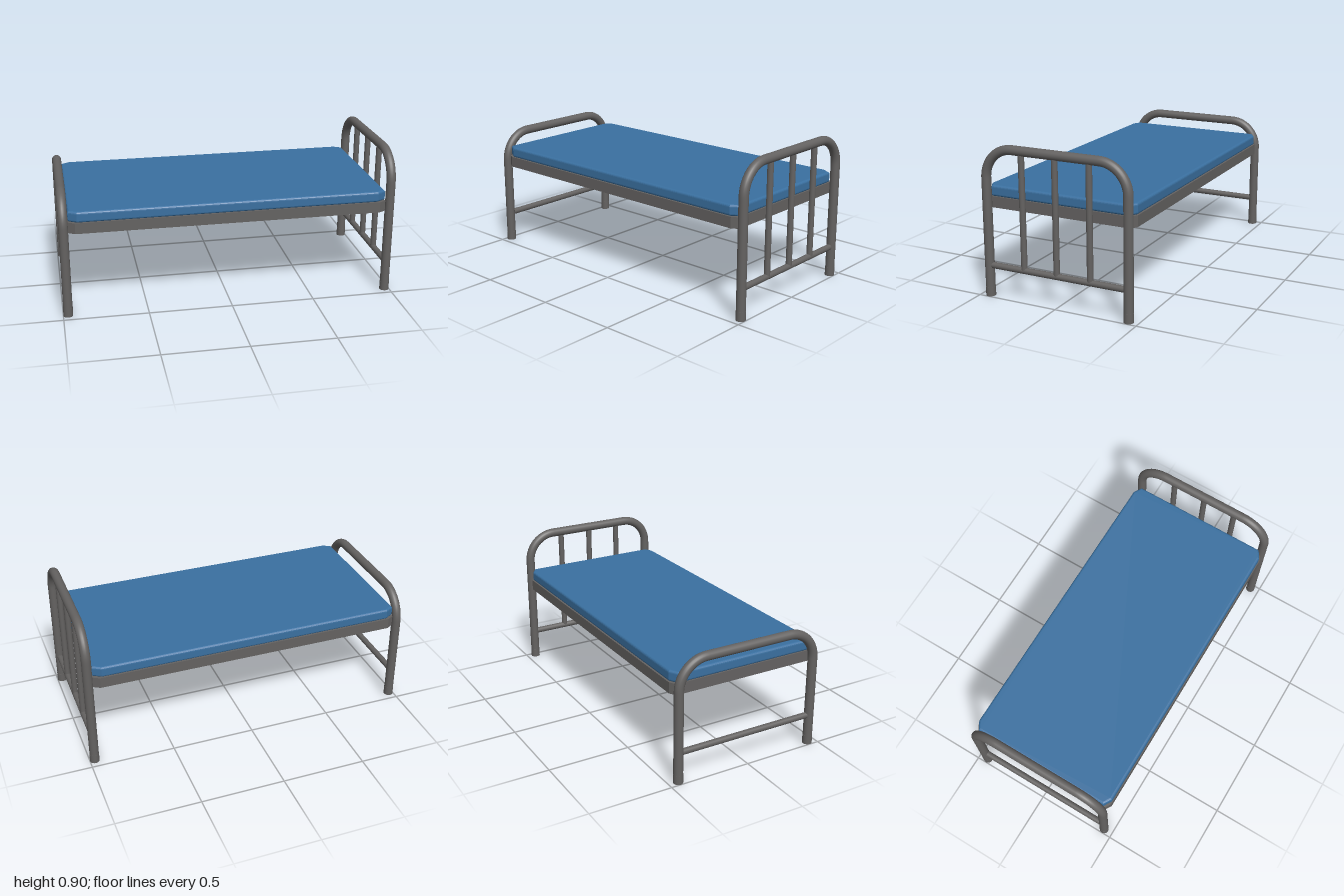
import * as THREE from 'three';

const steel = new THREE.MeshStandardMaterial({ color: 0x646261 });
steel.name = 'grey steel';
const fabric = new THREE.MeshStandardMaterial({ color: 0x3a70a0 });
fabric.name = 'blue fabric';

const TUBE = 0.0275, LEG_Z = 0.4425, END_X = 0.9715;

function add(parent, name, geometry, material, x = 0, y = 0, z = 0) {
  const mesh = new THREE.Mesh(geometry, material);
  mesh.name = name;
  mesh.position.set(x, y, z);
  parent.add(mesh);
  return mesh;
}

// Bent tube: up one leg, over the top and down the other
function archGeometry(top) {
  const y = top - TUBE, r = 0.172, k = r * 0.448;
  const v = (py, pz) => new THREE.Vector3(0, py, pz);
  const path = new THREE.CurvePath();
  path.add(new THREE.LineCurve3(v(0.01, LEG_Z), v(y - r, LEG_Z)));
  path.add(new THREE.CubicBezierCurve3(v(y - r, LEG_Z), v(y - k, LEG_Z), v(y, LEG_Z - k), v(y, LEG_Z - r)));
  path.add(new THREE.LineCurve3(v(y, LEG_Z - r), v(y, r - LEG_Z)));
  path.add(new THREE.CubicBezierCurve3(v(y, r - LEG_Z), v(y, k - LEG_Z), v(y - k, -LEG_Z), v(y - r, -LEG_Z)));
  path.add(new THREE.LineCurve3(v(y - r, -LEG_Z), v(0.01, -LEG_Z)));
  return new THREE.TubeGeometry(path, 120, TUBE, 20);
}

// Bed end: arch, foot caps, low cross rail and optional upright bars
function bedEnd(name, x, top, bars) {
  const end = new THREE.Group();
  end.name = name;
  end.position.x = x;
  add(end, 'arch', archGeometry(top), steel);
  for (const side of [-1, 1]) {
    add(end, 'footCap', new THREE.CylinderGeometry(0.0285, 0.0285, 0.055, 20), steel, 0, 0.0275, side * LEG_Z);
  }
  const rail = add(end, 'crossRail', new THREE.CylinderGeometry(0.0185, 0.0185, LEG_Z * 2, 16), steel, 0, 0.185, 0);
  rail.rotation.x = Math.PI / 2;
  const low = 0.19, high = top - TUBE;
  for (const z of bars) {
    add(end, 'uprightBar', new THREE.CylinderGeometry(0.018, 0.018, high - low, 16), steel, 0, (low + high) / 2, z);
  }
  return end;
}

// Flat slab with clipped corners and softened edges, standing on y = 0
function slab(halfX, halfZ, height, bevel) {
  const a = halfX - bevel, b = halfZ - bevel, cx = 0.04, cz = 0.024;
  const shape = new THREE.Shape([
    [a, cz - b], [a, b - cz], [a - cx, b], [cx - a, b],
    [-a, b - cz], [-a, cz - b], [cx - a, -b], [a - cx, -b],
  ].map(([x, y]) => new THREE.Vector2(x, y)));
  const geometry = new THREE.ExtrudeGeometry(shape, {
    depth: height - 2 * bevel, bevelEnabled: bevel > 0,
    bevelThickness: bevel, bevelSize: bevel, bevelSegments: 4,
  });
  geometry.translate(0, 0, bevel);
  geometry.rotateX(-Math.PI / 2);
  return geometry;
}

export function createModel() {
  const bed = new THREE.Group();
  bed.name = 'bed';
  bed.add(bedEnd('headEnd', END_X, 0.9, [-0.21, 0, 0.21]));
  bed.add(bedEnd('footEnd', -END_X, 0.75, []));
  add(bed, 'bedFrame', slab(0.945, 0.464, 0.065, 0), steel, 0, 0.52, 0);
  add(bed, 'mattress', slab(0.943, 0.46, 0.065, 0.014), fabric, 0, 0.584, 0);
  return bed;
}
